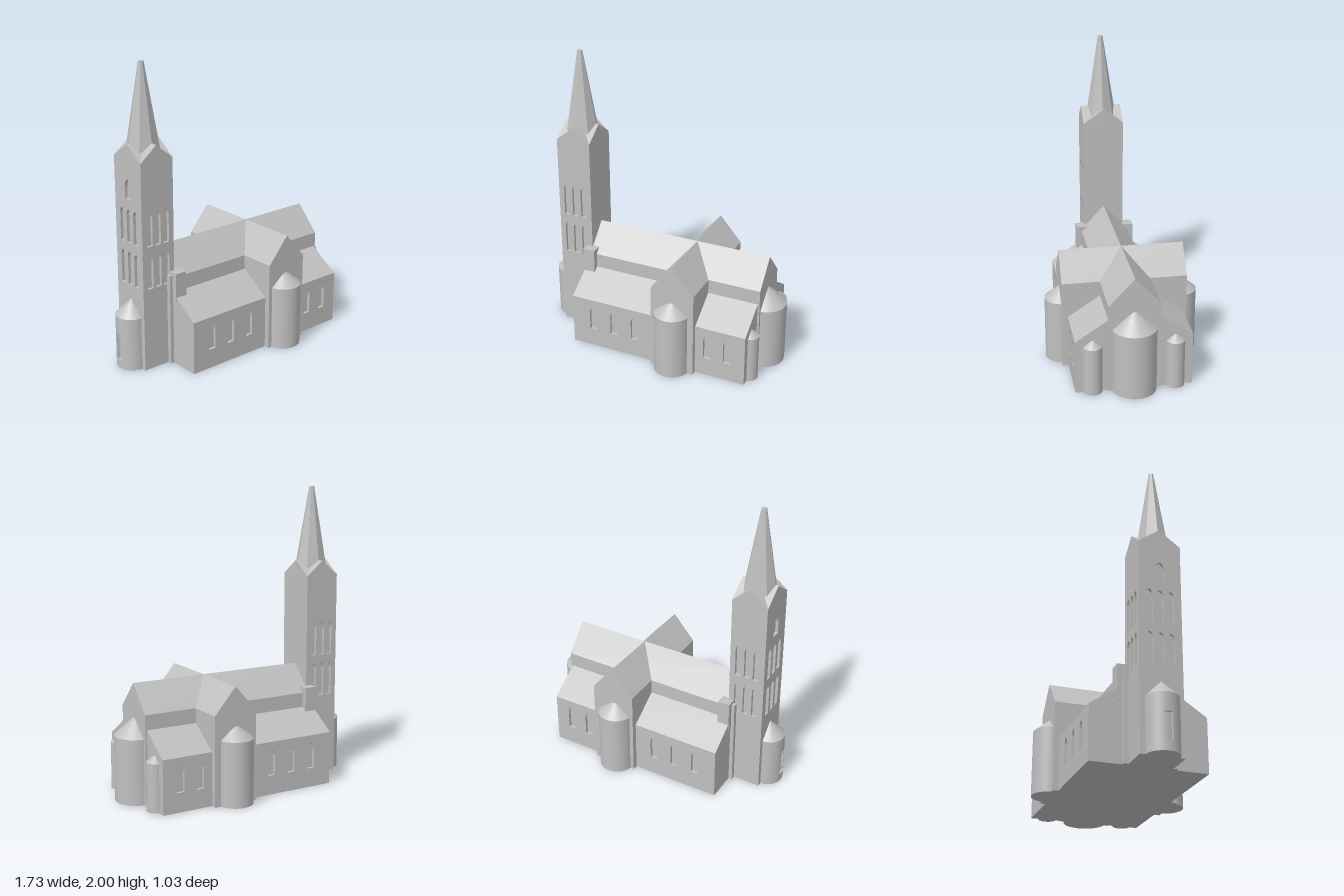
import * as THREE from 'three';

const stone = new THREE.MeshStandardMaterial({ color: 0xc0c0c0 });
stone.name = 'grey stone';

const DEPTH = 0.02; // window recess

function createShape(points) {
  return new THREE.Shape(points.map(([x, y]) => new THREE.Vector2(x, y)));
}

// Arched opening outline, centred on x
function arch(x, y0, y1, w) {
  const h = w / 2, spring = y1 - w * 0.75;
  return createShape([[x - h, y0], [x + h, y0], [x + h, spring], [x + h * 0.75, spring + w * 0.42],
    [x, y1], [x - h * 0.75, spring + w * 0.42], [x - h, spring]]);
}

function extrude(shape, depth) {
  return new THREE.ExtrudeGeometry(shape, { depth, bevelEnabled: false, curveSegments: 16 });
}

export function createModel() {
  const model = new THREE.Group();
  model.name = 'church';

  const add = (name, geometry, x = 0, y = 0, z = 0) => {
    const mesh = new THREE.Mesh(geometry, stone);
    mesh.name = name;
    mesh.position.set(x, y, z);
    model.add(mesh);
    return mesh;
  };
  const box = (name, x0, x1, y0, y1, z0, z1) =>
    add(name, new THREE.BoxGeometry(x1 - x0, y1 - y0, z1 - z0), (x0 + x1) / 2, (y0 + y1) / 2, (z0 + z1) / 2);
  // Wall sheet with window openings
  const wall = (name, x0, x1, y1, windows, z) => {
    const shape = createShape([[x0, 0], [x1, 0], [x1, y1], [x0, y1]]);
    shape.holes.push(...windows);
    return add(name, extrude(shape, DEPTH), 0, 0, z);
  };
  // Profile in (z, y) pulled along x
  const alongX = (name, points, x0, x1) =>
    add(name, extrude(createShape(points), x1 - x0).rotateY(Math.PI / 2), x0);
  const house = (w, eave, ridge, base = 0) =>
    [[-w, base], [w, base], [w, eave], [0, ridge], [-w, eave]];

  // Nave and transept crossing at equal ridge height
  alongX('nave', house(0.167, 0.6, 0.777), -0.55, 0.735);
  add('transept', extrude(createShape(house(0.153, 0.6, 0.777)), 0.834), 0.217, 0, -0.417);

  // Aisles: lean-to roofs over recessed cores
  const inner = 0.38 - DEPTH;
  alongX('aisles', [[-inner, 0], [inner, 0], [inner, 0.345], [0.38, 0.345], [0.38, 0.36], [0.165, 0.502],
    [-0.165, 0.502], [-0.38, 0.36], [-0.38, 0.345], [-inner, 0.345]], -0.55, 0.722);
  for (const z of [inner, -0.38]) {
    wall('aisleWall', -0.55, 0.722, 0.345,
      [-0.395, -0.237, -0.08, 0.455, 0.597].map((x) => arch(x, 0.13, 0.307, 0.052)), z);
  }

  // Round apses with conical roofs
  const apse = (name, x, z, r, eave, top) => {
    add(name + 'Wall', new THREE.CylinderGeometry(r, r, eave, 48), x, eave / 2, z);
    add(name + 'Roof', new THREE.ConeGeometry(r, top - eave, 48), x, (top + eave) / 2, z);
  };
  apse('eastApse', 0.718, 0, 0.145, 0.435, 0.565);
  for (const s of [1, -1]) {
    apse('transeptApse', 0.209, s * 0.394, 0.121, 0.435, 0.535);
    apse('smallApse', 0.713, s * 0.268, 0.062, 0.322, 0.372);
    // Stair chimney and corner buttress beside the tower
    box('chimney', -0.553, -0.47, 0.4, 0.64, s * 0.165 - 0.04, s * 0.165 + 0.04);
    box('buttress', -0.575, -0.5, 0, 0.62, s * 0.155 - 0.015, s * 0.155 + 0.015);
  }

  // West apse with a niche in its curved wall
  const r = 0.107, ax = -0.76, core = 0.092, gap = 0.24;
  const ring = new THREE.Shape();
  ring.absarc(0, 0, r, -Math.PI + gap, Math.PI - gap, false);
  ring.absarc(0, 0, core - 0.005, Math.PI - gap, -Math.PI + gap, true);
  const ringGeometry = new THREE.ExtrudeGeometry(ring, { depth: 0.18, bevelEnabled: false, curveSegments: 48 });
  add('westApseNicheWall', ringGeometry.rotateX(-Math.PI / 2), ax, 0.06, 0);
  add('westApseCore', new THREE.CylinderGeometry(core, core, 0.3, 48), ax, 0.16, 0);
  add('westApsePlinth', new THREE.CylinderGeometry(r, r, 0.06, 48), ax, 0.03, 0);
  add('westApseWall', new THREE.CylinderGeometry(r, r, 0.12, 48), ax, 0.3, 0);
  add('westApseRoof', new THREE.ConeGeometry(r, 0.105, 48), ax, 0.4125, 0);

  // Tower: core, windowed walls on three sides
  const tx0 = -0.762, tx1 = -0.516, tx = (tx0 + tx1) / 2, tz = 0.14, top = 1.4;
  box('towerCore', tx0 + DEPTH, tx1, 0, top, -tz + DEPTH, tz - DEPTH);
  const rows = (centre, step) => [0.56, 0.847].flatMap((y) =>
    [-1, 0, 1].map((i) => arch(centre + i * step, y, y + 0.227, 0.043)));
  for (const z of [tz - DEPTH, -tz]) wall('towerSideWall', tx0, tx1, top, rows(tx, 0.064), z);
  const west = wall('towerWestWall', -tz + DEPTH, tz - DEPTH, top,
    [...rows(0, 0.07), arch(0, 1.14, 1.27, 0.065)], 0);
  west.rotation.y = Math.PI / 2;
  west.position.x = tx0;

  // Crossed gables and eight-sided spire
  const gable = (w) => createShape([[-w, top], [w, top], [0, 1.5]]);
  add('towerGablesFrontBack', extrude(gable((tx1 - tx0) / 2), 2 * tz), tx, 0, -tz);
  const sideGable = add('towerGablesSides', extrude(gable(tz), tx1 - tx0), tx0);
  sideGable.rotation.y = Math.PI / 2;
  const spire = new THREE.CylinderGeometry(0.018, 0.125, 0.62, 8).toNonIndexed();
  spire.computeVertexNormals();
  add('spire', spire, tx, 1.69, 0).scale.z = 0.9;

  return model;
}
